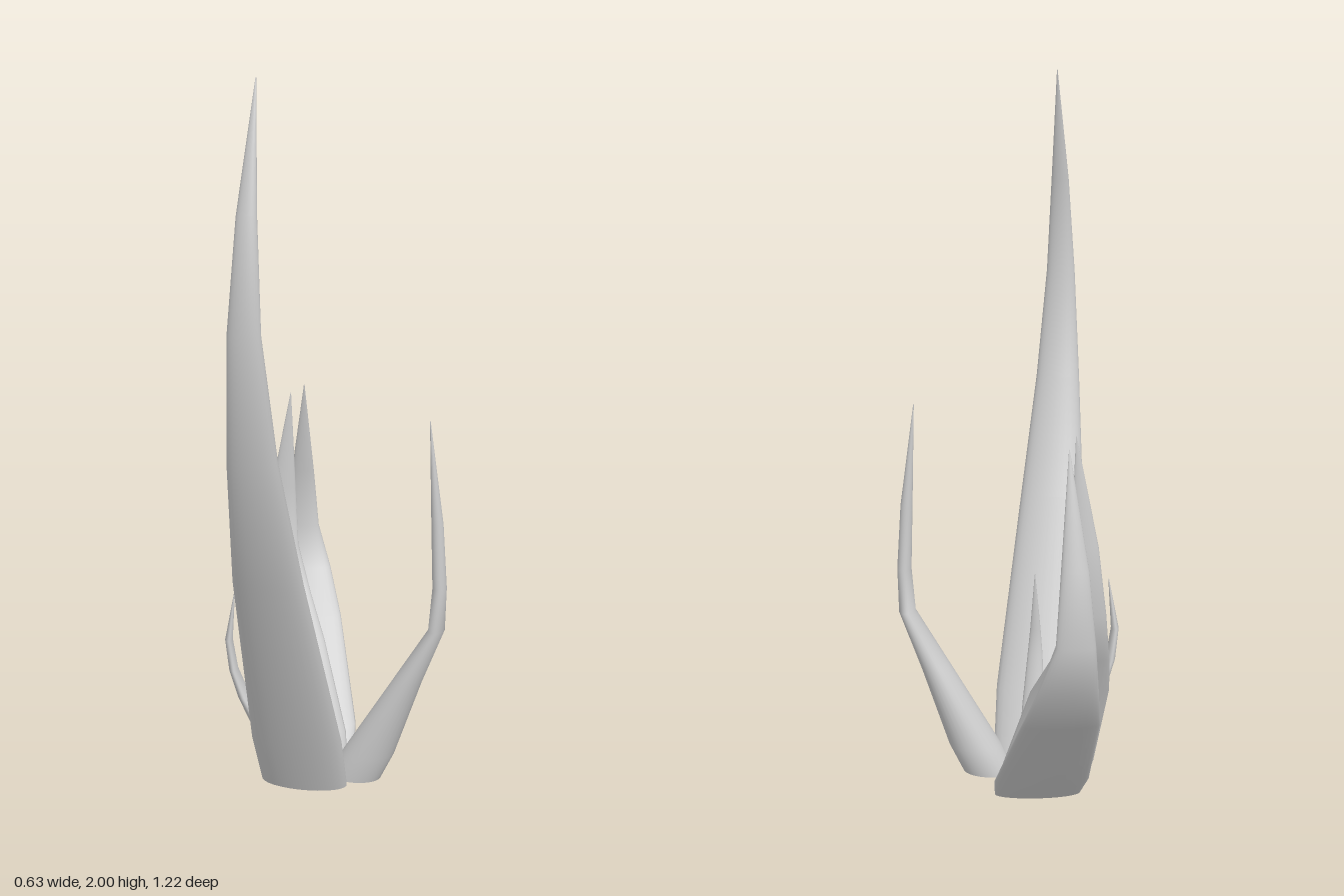
import * as THREE from 'three';

const SIDES = 28;
const material = new THREE.MeshStandardMaterial({ color: 0xcccccc, side: THREE.DoubleSide });

// Sweeps a flattened oval up a curved blade. Each row is
// [y, centre x, centre z, half width, half thickness]; yaw turns the oval.
function blade(name, yaw, rows) {
  const pos = [], index = [];
  const c = Math.cos(yaw), s = Math.sin(yaw);
  const ring = ([y, x, z, w, t]) => {
    for (let j = 0; j < SIDES; j++) {
      const a = (j / SIDES) * Math.PI * 2;
      const u = w * Math.cos(a), v = t * Math.sin(a);
      pos.push(x + u * c + v * s, y, z - u * s + v * c);
    }
  };
  rows.forEach(ring);
  for (let i = 0; i < rows.length - 1; i++) {
    for (let j = 0; j < SIDES; j++) {
      const k = (j + 1) % SIDES;
      const a = i * SIDES + j, b = i * SIDES + k;
      index.push(a, a + SIDES, b, b, a + SIDES, b + SIDES);
    }
  }
  // flat base cap with its own vertices
  const cap = pos.length / 3;
  ring(rows[0]);
  const [y, x, z] = rows[0];
  pos.push(x, y, z);
  for (let j = 0; j < SIDES; j++) index.push(cap + SIDES, cap + j, cap + ((j + 1) % SIDES));

  const geometry = new THREE.BufferGeometry();
  geometry.setAttribute('position', new THREE.Float32BufferAttribute(pos, 3));
  geometry.setIndex(index);
  geometry.computeVertexNormals();
  const mesh = new THREE.Mesh(geometry, material);
  mesh.name = name;
  return mesh;
}

export function createModel() {
  const group = new THREE.Group();
  group.name = 'spikyPlant';
  const TIP = 0.001;

  group.add(
    // tall blade arching to the front
    blade('tallFrontBlade', 0, [
      [0.04, -0.07, 0.085, 0.125, 0.06],
      [0.2, -0.07, 0.163, 0.13, 0.058],
      [0.735, -0.07, 0.418, 0.095, 0.046],
      [1.08, -0.07, 0.538, 0.066, 0.034],
      [1.4, -0.07, 0.591, 0.043, 0.02],
      [1.68, -0.07, 0.56, 0.026, 0.017],
      [2.0, -0.07, 0.475, TIP, TIP],
    ]),
    // blade reaching to the left
    blade('leftBlade', Math.PI / 2, [
      [0.02, 0.05, -0.035, 0.055, 0.075],
      [0.1, 0.09, -0.037, 0.062, 0.075],
      [0.33, 0.204, -0.033, 0.052, 0.042],
      [0.49, 0.287, -0.028, 0.037, 0.023],
      [0.615, 0.295, -0.024, 0.026, 0.02],
      [0.8, 0.287, -0.02, 0.017, 0.017],
      [1.09, 0.263, -0.02, TIP, TIP],
    ]),
    // two wide blades sweeping to the back
    blade('outerBackBlade', 0.22, [
      [0.02, -0.11, -0.165, 0.12, 0.035],
      [0.09, -0.13, -0.225, 0.13, 0.038],
      [0.355, -0.21, -0.46, 0.102, 0.026],
      [0.485, -0.24, -0.548, 0.076, 0.022],
      [0.615, -0.262, -0.584, 0.05, 0.02],
      [0.8, -0.255, -0.558, 0.035, 0.018],
      [1.09, -0.23, -0.49, TIP, TIP],
    ]),
    blade('innerBackBlade', 0.25, [
      [0.02, -0.115, -0.105, 0.12, 0.03],
      [0.1, -0.135, -0.13, 0.128, 0.034],
      [0.355, -0.205, -0.22, 0.108, 0.024],
      [0.475, -0.24, -0.3, 0.079, 0.022],
      [0.615, -0.262, -0.343, 0.051, 0.018],
      [0.8, -0.255, -0.346, 0.036, 0.014],
      [1.09, -0.23, -0.342, TIP, TIP],
    ]),
    // short blade reaching to the right
    blade('rightShortBlade', -1.33, [
      [0.005, -0.06, 0, 0.04, 0.045],
      [0.06, -0.12, 0.012, 0.05, 0.045],
      [0.18, -0.215, 0.035, 0.048, 0.026],
      [0.27, -0.262, 0.048, 0.039, 0.017],
      [0.35, -0.289, 0.056, 0.03, 0.013],
      [0.44, -0.3, 0.062, 0.02, 0.011],
      [0.585, -0.28, 0.065, TIP, TIP],
    ]),
    // slim shoots in the middle
    blade('frontShoot', 0, [
      [0.005, -0.068, -0.01, 0.033, 0.025],
      [0.06, -0.068, 0.002, 0.037, 0.025],
      [0.2, -0.068, 0.04, 0.032, 0.015],
      [0.34, -0.068, 0.074, 0.022, 0.012],
      [0.42, -0.068, 0.078, 0.015, 0.009],
      [0.585, -0.068, 0.065, TIP, TIP],
    ]),
    blade('backShoot', 0.785, [
      [0.005, -0.07, -0.01, 0.03, 0.025],
      [0.06, -0.09, -0.03, 0.033, 0.025],
      [0.2, -0.137, -0.075, 0.027, 0.015],
      [0.34, -0.173, -0.105, 0.018, 0.01],
      [0.42, -0.175, -0.107, 0.013, 0.008],
      [0.565, -0.165, -0.093, TIP, TIP],
    ]),
  );
  return group;
}
